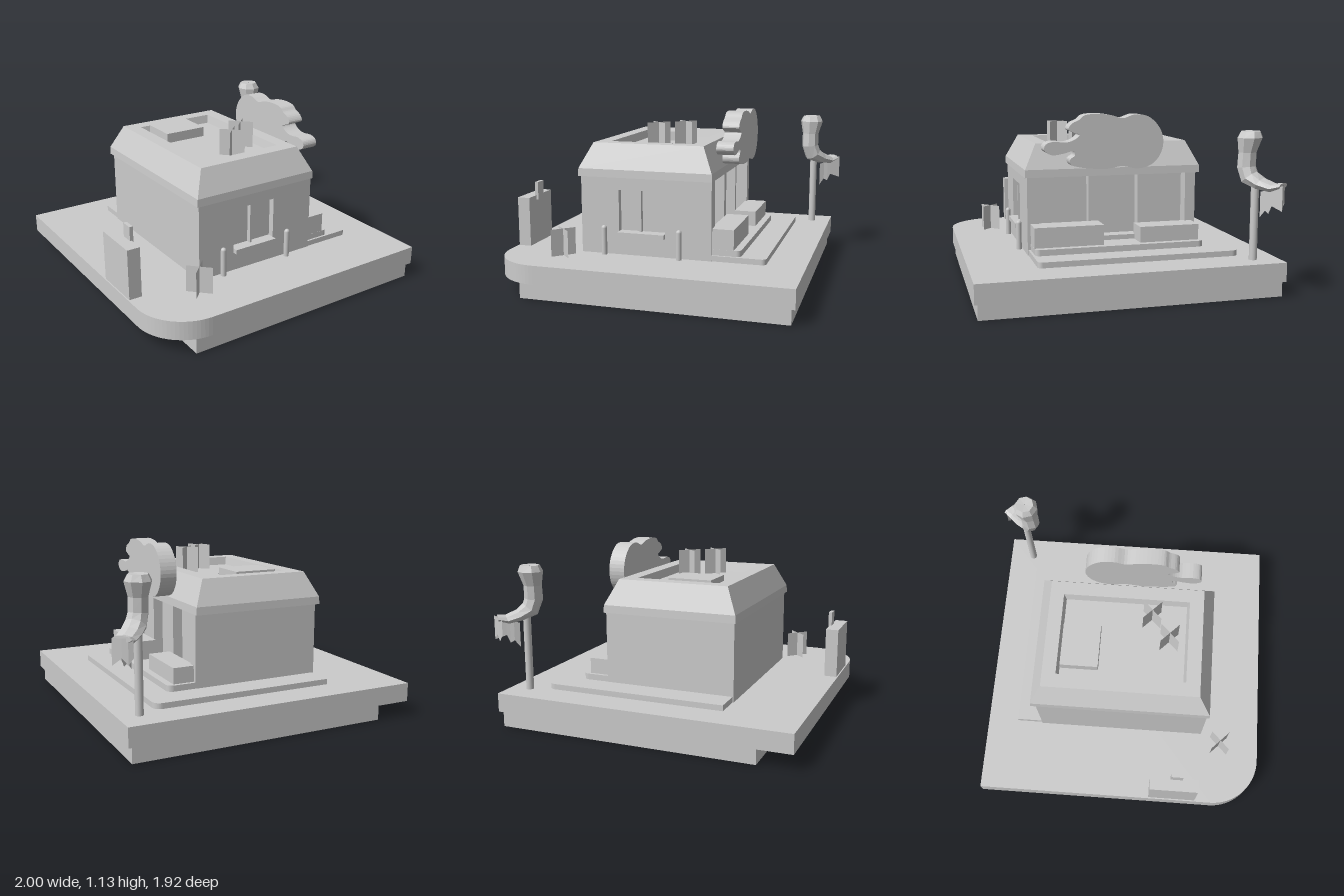
import * as THREE from 'three';

const mat = new THREE.MeshStandardMaterial({ color: 0xcccccc, flatShading: true });
const smooth = new THREE.MeshStandardMaterial({ color: 0xcccccc });
const thin = new THREE.MeshStandardMaterial({ color: 0xcccccc, side: THREE.DoubleSide, flatShading: true });

export function createModel() {
  const model = new THREE.Group();

  const add = (name, geo, m = mat) => {
    const mesh = new THREE.Mesh(geo, m);
    mesh.name = name;
    model.add(mesh);
    return mesh;
  };
  const box = (name, x0, x1, y0, y1, z0, z1) =>
    add(name, new THREE.BoxGeometry(x1 - x0, y1 - y0, z1 - z0))
      .position.set((x0 + x1) / 2, (y0 + y1) / 2, (z0 + z1) / 2);

  const extrude = (shape, depth) =>
    new THREE.ExtrudeGeometry(shape, { depth, bevelEnabled: false, curveSegments: 10 });

  // Plan outline in x and -z; radii order: front left, front right, back right, back left
  const slab = (name, x0, x1, y0, y1, z0, z1, [a, b, c, d]) => {
    const s = new THREE.Shape(), f = -z1, k = -z0;
    s.moveTo(x0 + a, f);
    s.lineTo(x1 - b, f);
    if (b) s.absarc(x1 - b, f + b, b, -Math.PI / 2, 0);
    s.lineTo(x1, k - c);
    if (c) s.absarc(x1 - c, k - c, c, 0, Math.PI / 2);
    s.lineTo(x0 + d, k);
    if (d) s.absarc(x0 + d, k - d, d, Math.PI / 2, Math.PI);
    s.lineTo(x0, f + a);
    if (a) s.absarc(x0 + a, f + a, a, Math.PI, Math.PI * 1.5);
    add(name, extrude(s, y1 - y0).rotateX(-Math.PI / 2).translate(0, y0, 0));
  };

  const rect = (T, x0, x1, y0, y1) => new T([
    new THREE.Vector2(x0, y0), new THREE.Vector2(x1, y0),
    new THREE.Vector2(x1, y1), new THREE.Vector2(x0, y1)]);

  // Skin a list of rings that run counter-clockwise seen from above
  const loft = (rings) => {
    const n = rings[0].length, index = [];
    for (let i = 0; i < rings.length - 1; i++)
      for (let j = 0; j < n; j++) {
        const a = i * n + j, b = i * n + (j + 1) % n;
        index.push(a + n, b + n, b, a + n, b, a);
      }
    const g = new THREE.BufferGeometry();
    g.setAttribute('position', new THREE.Float32BufferAttribute(rings.flat(2), 3));
    g.setIndex(index);
    const out = g.toNonIndexed();
    out.computeVertexNormals();
    return out;
  };

  // Ground: lower plinth, upper slab with one rounded corner, terrace steps
  box('plinth', -0.78, 0.915, 0, 0.1, -0.95, 0.94);
  slab('groundSlab', -1, 0.94, 0.1, 0.222, -0.965, 0.96, [0.32, 0, 0, 0]);
  slab('terrace', -0.51, 0.695, 0.222, 0.258, -0.755, 0.552, [0, 0.03, 0.05, 0]);
  slab('terraceStep', 0.2, 0.535, 0.258, 0.297, -0.578, 0.538, [0, 0.03, 0.04, 0]);

  // Building: core, then front and side walls with openings
  box('buildingCore', -0.517, 0.27, 0.222, 0.74, -0.58, 0.515);
  const front = rect(THREE.Shape, -0.517, 0.352, 0.222, 0.74);
  front.holes.push(rect(THREE.Path, -0.26, 0.05, 0.35, 0.645));
  add('frontWall', extrude(front, 0.042).translate(0, 0, 0.515));
  const side = rect(THREE.Shape, -0.515, 0.58, 0.222, 0.74);
  side.holes.push(rect(THREE.Path, -0.474, 0.51, 0.29, 0.73));
  add('shopfrontWall', extrude(side, 0.082).rotateY(Math.PI / 2).translate(0.27, 0, 0));
  for (const z of [0.14, -0.193]) box('shopfrontPost', 0.27, 0.335, 0.29, 0.73, z - 0.01, z + 0.01);
  box('threshold', 0.26, 0.36, 0.29, 0.328, -0.17, 0.1);
  box('windowMullion', -0.125, -0.113, 0.375, 0.645, 0.51, 0.545);
  box('windowSill', -0.26, 0.05, 0.345, 0.375, 0.51, 0.59);

  // Hipped roof with a sunken deck: deck, rim, slope, eave, underside
  const roofRings = [
    [-0.09, -0.08, 0.88, -0.03, -0.02],
    [-0.352, 0.178, 0.88, -0.425, 0.38],
    [-0.365, 0.19, 0.935, -0.44, 0.395],
    [-0.455, 0.28, 0.935, -0.53, 0.488],
    [-0.53, 0.354, 0.775, -0.605, 0.568],
    [-0.533, 0.357, 0.725, -0.608, 0.571],
    [-0.09, -0.08, 0.725, -0.03, -0.02],
  ].map(([x0, x1, y, z0, z1]) => [[x1, y, z1], [x1, y, z0], [x0, y, z0], [x0, y, z1]]);
  add('roof', loft(roofRings));
  box('roofUnit', -0.305, -0.015, 0.87, 0.945, -0.42, -0.175);

  // Counters beside the shopfront
  box('frontCounter', 0.34, 0.49, 0.29, 0.427, 0.088, 0.537);
  box('backCounter', 0.34, 0.49, 0.29, 0.4, -0.555, -0.155);

  // Bollards with domed tops
  for (const x of [-0.353, 0.148]) {
    const g = new THREE.CapsuleGeometry(0.018, 0.18, 4, 12);
    add('bollard', g, smooth).position.set(x, 0.307, 0.582);
  }

  // Cloud-shaped sign on the shop side
  const cloudPoints = [
    [0.465, 0.91], [0.455, 0.944], [0.41, 0.96], [0.32, 0.955], [0.265, 0.975], [0.24, 1.0],
    [0.275, 1.015], [0.31, 1.035], [0.29, 1.07], [0.24, 1.095], [0.21, 1.12], [0.13, 1.13],
    [0.03, 1.12], [-0.04, 1.1], [-0.12, 1.123], [-0.21, 1.11], [-0.285, 1.04], [-0.313, 0.95],
    [-0.29, 0.86], [-0.23, 0.80], [-0.14, 0.778], [-0.04, 0.797], [0.06, 0.782], [0.16, 0.786],
    [0.24, 0.797], [0.295, 0.815], [0.3, 0.848], [0.27, 0.872], [0.275, 0.9], [0.34, 0.886],
    [0.42, 0.878],
  ].map(([z, y]) => new THREE.Vector3(-z, y, 0));
  const cloud = new THREE.CatmullRomCurve3(cloudPoints, true).getPoints(120).slice(0, -1);
  const cloudShape = new THREE.Shape(cloud.map((p) => new THREE.Vector2(p.x, p.y)));
  add('cloudSign', extrude(cloudShape, 0.11).rotateY(Math.PI / 2).translate(0.355, 0, 0), smooth);

  // Upright board with a small tag
  box('board', -0.992, -0.908, 0.222, 0.55, 0.21, 0.53);
  box('boardTag', -0.918, -0.895, 0.52, 0.64, 0.345, 0.425);

  // Plants made of two crossed upright planes
  for (const [x, y, z] of [[-0.595, 0.222, 0.682], [-0.08, 0.88, 0.272], [0.07, 0.88, 0.152]])
    for (const turn of [1, -1]) {
      const leaf = add('plant', new THREE.PlaneGeometry(0.166, 0.176), thin);
      leaf.position.set(x, y + 0.088, z);
      leaf.rotation.y = turn * Math.PI / 4;
    }

  // Post carrying a flared, bent ornament
  add('post', new THREE.CylinderGeometry(0.025, 0.025, 0.52, 16), smooth).position.set(0.808, 0.482, -0.796);
  const across = [0.64, 0, 0.77], along = [0.77, 0, -0.64];
  // centre x y z, half width, half depth, tilt
  const ornament = [
    [0.79, 1.025, -0.765, 0.002, 0.002, 0],
    [0.79, 1.03, -0.765, 0.062, 0.062, 0],
    [0.79, 0.99, -0.762, 0.085, 0.08, 0],
    [0.785, 0.9, -0.75, 0.062, 0.058, 0],
    [0.785, 0.81, -0.745, 0.062, 0.06, 0.1],
    [0.805, 0.745, -0.76, 0.068, 0.06, 0.7],
    [0.855, 0.71, -0.81, 0.072, 0.042, 1.1],
    [0.91, 0.69, -0.865, 0.07, 0.03, 1.2],
    [0.945, 0.705, -0.915, 0.064, 0.018, 1.57],
    [0.945, 0.705, -0.915, 0.002, 0.002, 1.57],
  ].map(([x, y, z, w, t, tilt]) => Array.from({ length: 8 }, (_, j) => {
    const c = Math.cos(j * Math.PI / 4) * w, s = Math.sin(j * Math.PI / 4) * t;
    const h = Math.cos(tilt) * s;
    return [x + across[0] * c + along[0] * h, y + Math.sin(tilt) * s, z + across[2] * c + along[2] * h];
  }));
  add('ornament', loft(ornament));

  // Ragged fringe hanging from the ornament: x, z, top, bottom
  const fringe = [
    [0.855, -0.81, 0.66, 0.5], [0.885, -0.83, 0.67, 0.545], [0.91, -0.84, 0.68, 0.53],
    [0.93, -0.85, 0.69, 0.58], [0.995, -0.885, 0.71, 0.555], [0.95, -0.92, 0.71, 0.6],
    [0.92, -0.94, 0.71, 0.56], [0.892, -0.948, 0.71, 0.6],
  ];
  const pos = [], index = [];
  fringe.forEach(([x, z, top, low], i) => {
    pos.push(x, top, z, x, low, z);
    if (i) index.push(2 * i - 2, 2 * i - 1, 2 * i + 1, 2 * i - 2, 2 * i + 1, 2 * i);
  });
  const fringeGeo = new THREE.BufferGeometry();
  fringeGeo.setAttribute('position', new THREE.Float32BufferAttribute(pos, 3));
  fringeGeo.setIndex(index);
  fringeGeo.computeVertexNormals();
  add('fringe', fringeGeo, thin);

  return model;
}
